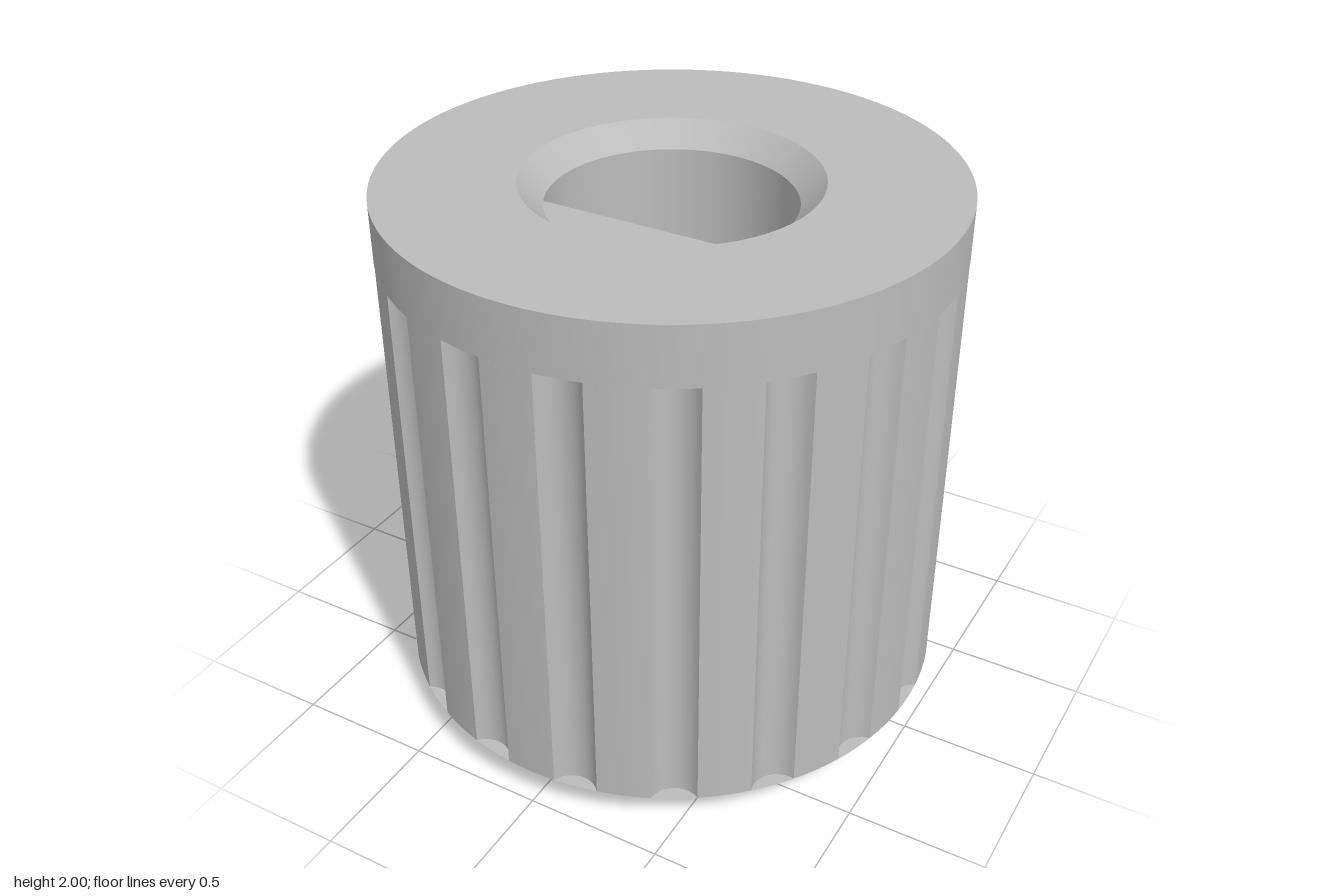
import * as THREE from 'three';
import { toCreasedNormals } from 'three/addons/utils/BufferGeometryUtils.js';

const FLUTES = 18;
const BORE = 0.43, FLAT = 0.215, FLOOR = 0.5;
const CHAMFER_TOP = 0.145, FLUTE_TOP = 1.79, BORE_TOP = 1.915;

export function createModel() {
  const group = new THREE.Group();
  const grey = new THREE.MeshStandardMaterial({ color: 0xbcbcbc });
  grey.name = 'grey';

  const add = (name, geometry) => {
    const mesh = new THREE.Mesh(toCreasedNormals(geometry, 0.5), grey);
    mesh.name = name;
    group.add(mesh);
  };
  // Vertical prism between two heights; shape coordinates are (x, z)
  const prism = (shape, y0, y1) => new THREE.ExtrudeGeometry(shape, {
    depth: y1 - y0, bevelEnabled: false, curveSegments: 90,
  }).rotateX(Math.PI / 2).translate(0, y1, 0);
  const lathe = (points) => new THREE.LatheGeometry(
    points.map(([r, y]) => new THREE.Vector2(r, y)), 144);

  // Barrel outline: rounded flutes alternating with plain lands
  const outline = [];
  const step = (Math.PI * 2) / FLUTES, edge = 0.0821;
  const cutCentre = 1.042, cutRadius = 0.092, cutHalf = 1.054;
  for (let i = 0; i < FLUTES; i++) {
    const a = i * step;
    for (let j = 0; j <= 10; j++) {
      const t = cutHalf * (1 - j / 5);
      const u = cutCentre - cutRadius * Math.cos(t);
      const v = -cutRadius * Math.sin(t);
      outline.push(new THREE.Vector2(
        u * Math.cos(a) - v * Math.sin(a), u * Math.sin(a) + v * Math.cos(a)));
    }
    for (let j = 1; j < 7; j++) {
      const b = a + edge + (step - 2 * edge) * (j / 7);
      outline.push(new THREE.Vector2(Math.cos(b), Math.sin(b)));
    }
  }
  const barrel = new THREE.Shape(outline);
  barrel.holes.push(new THREE.Path().absarc(0, 0, 0.6, 0, Math.PI * 2, true));
  add('flutedBarrel', prism(barrel, CHAMFER_TOP, FLUTE_TOP));

  // Plain collar, countersunk rim and blind bore in one profile
  add('collarAndBore', lathe([
    [0.9, FLUTE_TOP], [1, FLUTE_TOP], [1, 2], [0.515, 2],
    [BORE, BORE_TOP], [BORE, FLOOR], [0, FLOOR],
  ]));

  // Flat side of the D-shaped bore
  const start = Math.asin(FLAT / BORE);
  const segment = new THREE.Shape();
  segment.absarc(0, 0, BORE, start, Math.PI - start, false);
  segment.closePath();
  add('boreFlat', prism(segment, FLOOR, BORE_TOP));

  // Sloping edge with the small ledge under the flutes
  add('baseChamfer', lathe([[0.857, 0], [1, CHAMFER_TOP], [0.9, CHAMFER_TOP]]));

  // End face with the pointer slot
  const disc = new THREE.Shape().absarc(0, 0, 0.857, 0, Math.PI * 2, false);
  const w = 0.08, z0 = 0.3, z1 = 0.85, depth = 0.085;
  disc.holes.push(new THREE.Path([
    new THREE.Vector2(-w, z0), new THREE.Vector2(-w, z1),
    new THREE.Vector2(w, z1), new THREE.Vector2(w, z0),
  ]));
  add('endFace', prism(disc, 0, depth));
  add('slotFloor', new THREE.BoxGeometry(2 * w, 0.02, z1 - z0)
    .translate(0, depth + 0.01, (z0 + z1) / 2));

  return group;
}
